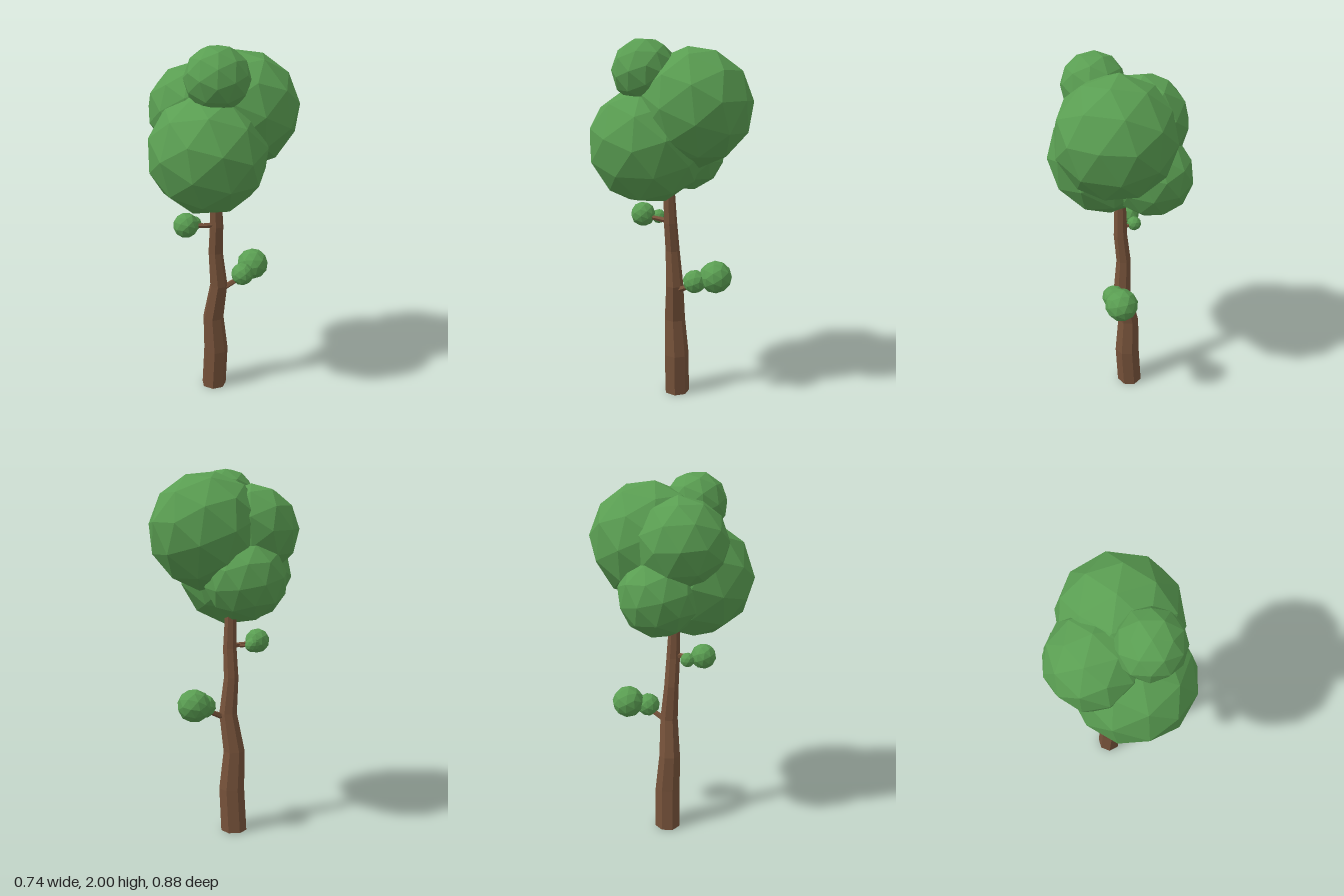
import * as THREE from 'three';

export function createModel() {
  const tree = new THREE.Group();
  tree.name = 'tree';
  const leafGreen = new THREE.MeshStandardMaterial({ color: 0x5a9e52, flatShading: true });
  leafGreen.name = 'leaf green';
  const barkBrown = new THREE.MeshStandardMaterial({ color: 0x76523a, flatShading: true });
  barkBrown.name = 'bark brown';

  const add = (name, geometry, material) => {
    const mesh = new THREE.Mesh(geometry, material);
    mesh.name = name;
    tree.add(mesh);
    return mesh;
  };

  // Crooked seven-sided trunk: rings of [x, y, z, radius]
  const rings = [
    [-0.05, 0, -0.025, 0.072],
    [-0.035, 0.24, -0.025, 0.071],
    [-0.043, 0.45, -0.013, 0.06],
    [-0.005, 0.66, -0.018, 0.05],
    [-0.016, 0.86, -0.004, 0.041],
    [0, 1.02, 0.005, 0.038],
    [0, 1.2, 0.012, 0.032],
    [0, 1.32, 0.015, 0.03],
  ];
  const trunk = new THREE.CylinderGeometry(1, 1, rings.length - 1, 7, rings.length - 1);
  const p = trunk.attributes.position;
  for (let i = 0; i < p.count; i++) {
    const [x, y, z, r] = rings[Math.round(p.getY(i) + (rings.length - 1) / 2)];
    const px = p.getX(i), pz = p.getZ(i);
    // Turn each ring so that a corner points to +x
    p.setXYZ(i, x + pz * r, y, z - px * r);
  }
  trunk.computeVertexNormals();
  add('trunk', trunk, barkBrown);

  // Thin twigs holding the small leaf balls
  const twig = (name, from, to, r0, r1) => {
    const a = new THREE.Vector3(...from), b = new THREE.Vector3(...to);
    const dir = b.clone().sub(a);
    const mesh = add(name, new THREE.CylinderGeometry(r1, r0, dir.length(), 5), barkBrown);
    mesh.position.copy(a).add(b).multiplyScalar(0.5);
    mesh.quaternion.setFromUnitVectors(new THREE.Vector3(0, 1, 0), dir.normalize());
  };
  twig('lowerTwig', [0.005, 0.635, -0.03], [0.06, 0.69, -0.14], 0.018, 0.013);
  twig('lowerTwigTip', [0.06, 0.69, -0.14], [0.045, 0.73, -0.24], 0.013, 0.01);
  twig('upperTwig', [0, 1.03, 0.01], [-0.065, 1.04, 0.15], 0.016, 0.011);
  twig('upperSideTwig', [-0.03, 1.03, 0.06], [-0.09, 1.035, 0.085], 0.011, 0.008);

  // Faceted leaf balls: name, x, y, z, radius
  const balls = [
    ['crownFront', 0.05, 1.455, 0.12, 0.319],
    ['crownBack', 0.05, 1.65, -0.127, 0.314],
    ['crownRightUpper', -0.12, 1.655, 0.05, 0.247],
    ['crownRightLower', -0.152, 1.4, -0.06, 0.22],
    ['crownTop', 0.115, 1.835, 0.12, 0.17],
    ['upperTwigLeaves', -0.07, 1.05, 0.17, 0.069],
    ['upperTwigBud', -0.093, 1.035, 0.085, 0.04],
    ['lowerTwigLeaves', 0.045, 0.735, -0.253, 0.09],
    ['lowerTwigBud', 0.066, 0.71, -0.14, 0.065],
  ];
  balls.forEach(([name, x, y, z, r], i) => {
    const mesh = add(name, new THREE.IcosahedronGeometry(r, 1), leafGreen);
    mesh.position.set(x, y, z);
    mesh.rotation.set(i * 1.3 + 0.3, i * 2.1 + 0.5, i * 0.7);
  });
  return tree;
}
